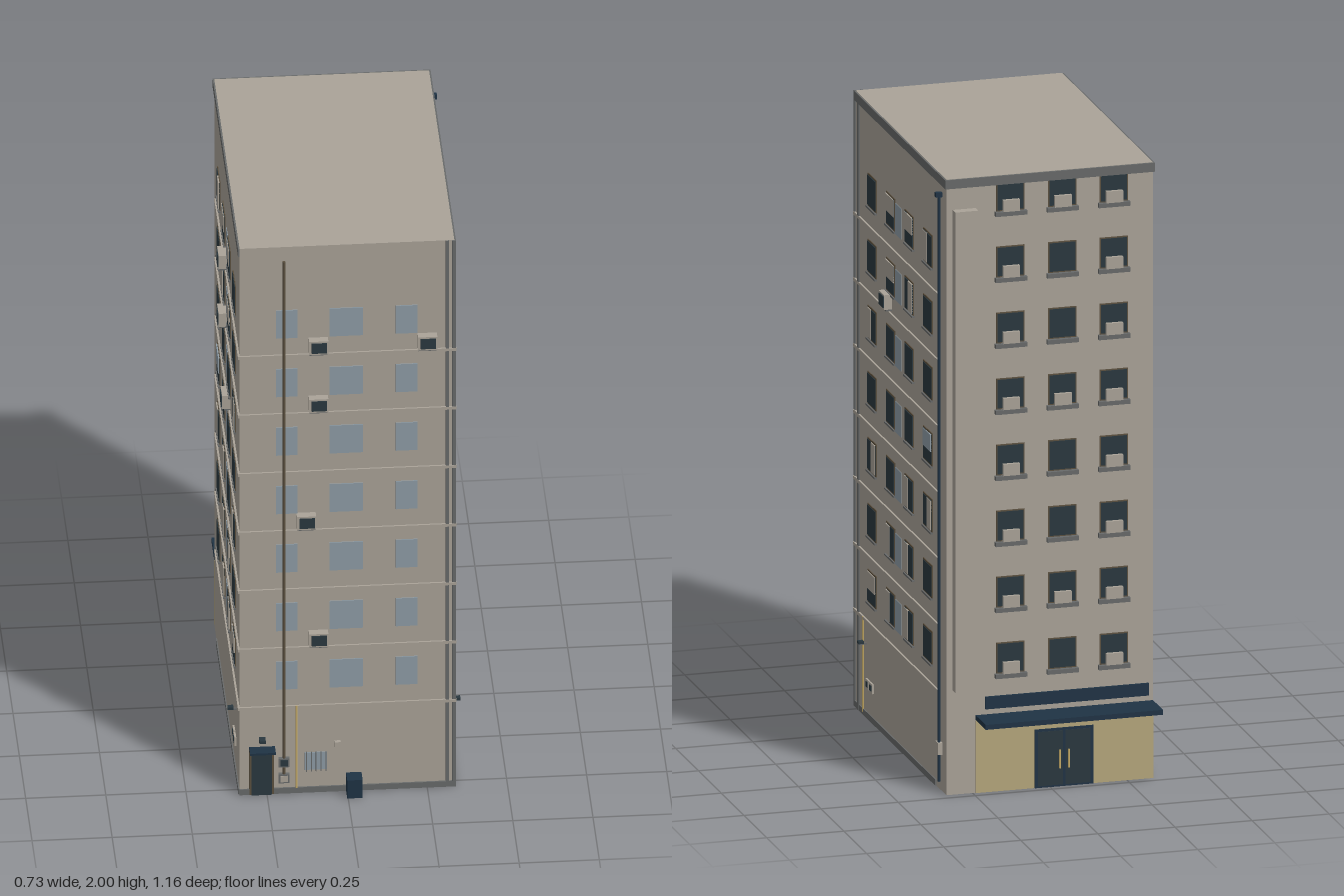
import * as THREE from 'three';

const mat = (name, color) => {
  const m = new THREE.MeshStandardMaterial({ color });
  m.name = name;
  return m;
};

export function createModel() {
  const wall = mat('wall stone', 0xaaa398), trim = mat('grey trim', 0x686a6a);
  const glass = mat('dark glass', 0x2a383f), pale = mat('pale glass', 0x8f9da6);
  const navy = mat('navy paint', 0x1f3345), frame = mat('brown frame', 0x5c5140);
  const cream = mat('cream panel', 0xb5a67c), brass = mat('brass', 0xc8ad68);

  const root = new THREE.Group();
  root.name = 'apartmentBlock';
  const group = (name) => {
    const g = new THREE.Group();
    g.name = name;
    root.add(g);
    return g;
  };
  // Box given by its limits; reversed limits are allowed, which makes mirroring easy
  const box = (g, name, m, x0, x1, y0, y1, z0, z1) => {
    const b = new THREE.Mesh(
      new THREE.BoxGeometry(Math.abs(x1 - x0), Math.abs(y1 - y0), Math.abs(z1 - z0)), m);
    b.position.set((x0 + x1) / 2, (y0 + y1) / 2, (z0 + z1) / 2);
    b.name = name;
    g.add(b);
  };
  const pipe = (g, name, m, x, z, y0, y1, r) => {
    const p = new THREE.Mesh(new THREE.CylinderGeometry(r, r, y1 - y0, 8), m);
    p.position.set(x, (y0 + y1) / 2, z);
    p.name = name;
    g.add(p);
  };

  const W = 0.335, F = 0.53, B = -0.47, PITCH = 0.2145;
  const rowY = (i) => 0.382 + i * PITCH;

  // Main block, roof edge and plinth
  const shell = group('shell');
  box(shell, 'mainBlock', wall, -W, W, 0, 2, B, F);
  box(shell, 'roofEdgeBack', trim, -W - 0.005, W + 0.005, 1.97, 1.999, B - 0.006, B);
  for (const s of [-1, 1]) {
    box(shell, 'roofEdgeSide', trim, s * W, s * (W + 0.005), 1.97, 1.999, B, F);
    box(shell, 'plinthSide', trim, s * W, s * (W + 0.004), 0, 0.02, -0.36, F);
  }
  box(shell, 'plinthFront', trim, -W, W, 0, 0.02, F, F + 0.005);

  // Storey bands on the front and both sides
  for (let i = 0; i < 7; i++) {
    const y = 0.31 + i * PITCH;
    box(shell, 'bandFront', wall, -W, W, y, y + 0.01, F, F + 0.006);
    for (const s of [-1, 1]) {
      box(shell, 'bandSide', wall, s * W, s * (W + 0.006), y, y + 0.01, -0.40, F + 0.006);
    }
  }

  // Air conditioner on a wall: outward axis is z, turned to suit the side
  const cooler = (x, y, z, turn) => {
    const g = group('airConditioner');
    box(g, 'casing', wall, -0.03, 0.03, -0.024, 0.024, 0, 0.026);
    box(g, 'fanGrille', glass, -0.022, 0.026, -0.018, 0.018, 0.026, 0.029);
    box(g, 'bracket', trim, -0.028, 0.028, -0.03, -0.024, 0, 0.02);
    g.position.set(x, y, z);
    g.rotation.y = turn;
  };
  for (const [x, y] of [[-0.09, 1.64], [0.25, 1.64], [-0.09, 1.428], [-0.128, 1.0], [-0.09, 0.568]]) {
    cooler(x, y, F, 0);
  }
  cooler(W, 1.43, 0.155, Math.PI / 2);
  for (const [y, z] of [[1.64, 0.0], [1.428, 0.0], [1.212, 0.137]]) cooler(-W, y, z, -Math.PI / 2);

  // Front windows
  const front = group('frontWindows');
  for (let i = 0; i < 7; i++) {
    for (const [a, b] of [[-0.222, -0.155], [-0.055, 0.05], [0.152, 0.22]]) {
      box(front, 'frontPane', pale, a, b, rowY(i) - 0.002, rowY(i) + 0.1, F, F + 0.003);
    }
  }

  // Side windows; t, l and r mark a blind over the top, front or rear part, p a pale upper pane
  const blinds = ['tll.', '.ll.', 'r.lr', '...p', 'l...', '.tr.', '.ttl'];
  for (const s of [-1, 1]) {
    const g = group(s > 0 ? 'leftSideWindows' : 'rightSideWindows');
    const plate = (name, m, d, y0, y1, z0, z1) => box(g, name, m, s * W, s * (W + d), y0, y1, z0, z1);
    for (let i = 0; i < 7; i++) {
      const y0 = rowY(i), y1 = y0 + 0.106;
      plate('stairPane', pale, 0.002, y0 - 0.006, y1 - 0.012, 0.022, 0.117);
      [0.341, 0.136, -0.068, -0.273].forEach((z, c) => {
        plate('windowFrame', frame, 0.003, y0, y1, z - 0.048, z + 0.048);
        plate('windowGlass', glass, 0.005, y0 + 0.005, y1 - 0.005, z - 0.043, z + 0.043);
        plate('windowSill', trim, 0.008, y0 - 0.006, y0, z - 0.05, z + 0.05);
        const k = blinds[i][c];
        if (k === 't' || k === 'p') {
          plate('blind', k === 'p' ? pale : wall, 0.007, y0 + 0.046, y1 - 0.005, z - 0.043, z + 0.043);
        } else if (k === 'l') plate('blind', wall, 0.007, y0 + 0.005, y1 - 0.005, z, z + 0.043);
        else if (k === 'r') plate('blind', wall, 0.007, y0 + 0.005, y1 - 0.005, z - 0.043, z);
      });
    }
  }

  // Back windows with sills and small window coolers
  const back = group('backWindows');
  for (let i = 0; i < 8; i++) {
    [-0.207, -0.04, 0.128].forEach((x, c) => {
      const y = rowY(i);
      box(back, 'backFrame', frame, x - 0.046, x + 0.046, y, y + 0.1, B, B - 0.003);
      box(back, 'backGlass', glass, x - 0.042, x + 0.042, y + 0.004, y + 0.096, B, B - 0.005);
      box(back, 'backSill', trim, x - 0.051, x + 0.051, y - 0.014, y, B, B - 0.016);
      if (c !== 1 || i % 3 === 1) {
        box(back, 'windowCooler', wall, x - 0.027, x + 0.027, y, y + 0.038, B, B - 0.016);
      }
    });
  }
  box(back, 'ventShaft', wall, 0.24, 0.315, 0.34, 1.9, B, B - 0.03);

  // Rear entrance with canopy, sign board and double door
  const entry = group('rearEntrance');
  box(entry, 'entrancePanel', cream, -W, 0.24, 0, 0.235, B, B - 0.004);
  box(entry, 'canopy', navy, -W, 0.24, 0.236, 0.252, B, -0.58);
  box(entry, 'canopySoffit', frame, -W + 0.015, 0.225, 0.232, 0.236, B, -0.565);
  box(entry, 'signBoard', navy, -0.32, 0.21, 0.27, 0.31, B, B - 0.007);
  box(entry, 'doorFrame', navy, -0.14, 0.05, 0, 0.19, B, B - 0.007);
  for (const s of [-1, 1]) {
    const x = -0.045;
    box(entry, 'doorLeaf', glass, x + s * 0.004, x + s * 0.085, 0.006, 0.182, B, B - 0.009);
    box(entry, 'doorHandle', brass, x + s * 0.012, x + s * 0.017, 0.06, 0.12, B - 0.009, B - 0.014);
  }

  // Drainpipes and conduits
  const pipes = group('pipes');
  pipe(pipes, 'frontDrainpipe', frame, -0.197, F + 0.006, 0.05, 1.95, 0.005);
  pipe(pipes, 'frontConduit', brass, -0.158, F + 0.004, 0.02, 0.32, 0.0035);
  pipe(pipes, 'sideConduit', brass, W + 0.004, 0.433, 0.01, 0.32, 0.0025);
  pipe(pipes, 'sideDrainpipe', navy, W + 0.008, -0.415, 0.03, 1.94, 0.005);
  box(pipes, 'drainpipeHead', navy, W, W + 0.02, 1.93, 1.945, -0.425, -0.41);
  box(pipes, 'pipeBox', wall, W, W + 0.015, 0.12, 0.158, -0.43, -0.4);
  box(pipes, 'cornerStripFront', trim, 0.308, 0.318, 0, 2, F, F + 0.005);
  box(pipes, 'cornerStripEdge', trim, 0.328, W + 0.004, 0, 2, F - 0.004, F + 0.005);
  box(pipes, 'cornerStripSide', trim, W, W + 0.005, 0, 1.97, 0.478, 0.495);

  // Service door, barred window, boxes and bin at the foot of the front
  const yard = group('frontGroundFloor');
  box(yard, 'serviceDoorFrame', frame, -0.305, -0.228, 0, 0.165, F, F + 0.006);
  box(yard, 'serviceDoor', glass, -0.298, -0.235, 0, 0.158, F, F + 0.009);
  box(yard, 'serviceAwning', navy, -0.305, -0.225, 0.165, 0.172, F, 0.57);
  box(yard, 'doorLamp', glass, -0.275, -0.255, 0.197, 0.207, F, F + 0.025);
  box(yard, 'barredPane', pale, -0.132, -0.063, 0.082, 0.145, F, F + 0.003);
  for (let i = 0; i < 5; i++) {
    const x = -0.128 + i * 0.015;
    box(yard, 'windowBar', trim, x, x + 0.003, 0.078, 0.149, F + 0.003, F + 0.008);
  }
  for (const [y, face] of [[0.1, glass], [0.042, wall]]) {
    box(yard, 'meterBox', trim, -0.214, -0.18, y, y + 0.032, F, F + 0.012);
    box(yard, 'meterFace', face, -0.209, -0.185, y + 0.005, y + 0.027, F + 0.012, F + 0.014);
  }
  box(yard, 'junctionBox', wall, -0.04, -0.02, 0.162, 0.184, F, F + 0.012);
  box(yard, 'bin', navy, -0.003, 0.045, 0, 0.066, F + 0.002, 0.58);

  // Side lamps and vents
  for (const s of [-1, 1]) {
    const g = group('sideFittings');
    box(g, 'lampArm', trim, s * W, s * (W + 0.02), 0.236, 0.241, 0.405, 0.411);
    box(g, 'lampHead', glass, s * (W + 0.01), s * (W + 0.028), 0.24, 0.249, 0.4, 0.417);
    for (const z of [0.384, 0.344]) {
      box(g, 'ventFrame', wall, s * W, s * (W + 0.006), 0.097, 0.129, z - 0.016, z + 0.016);
      box(g, 'ventGrille', glass, s * W, s * (W + 0.008), 0.104, 0.122, z - 0.009, z + 0.009);
    }
  }
  return root;
}
